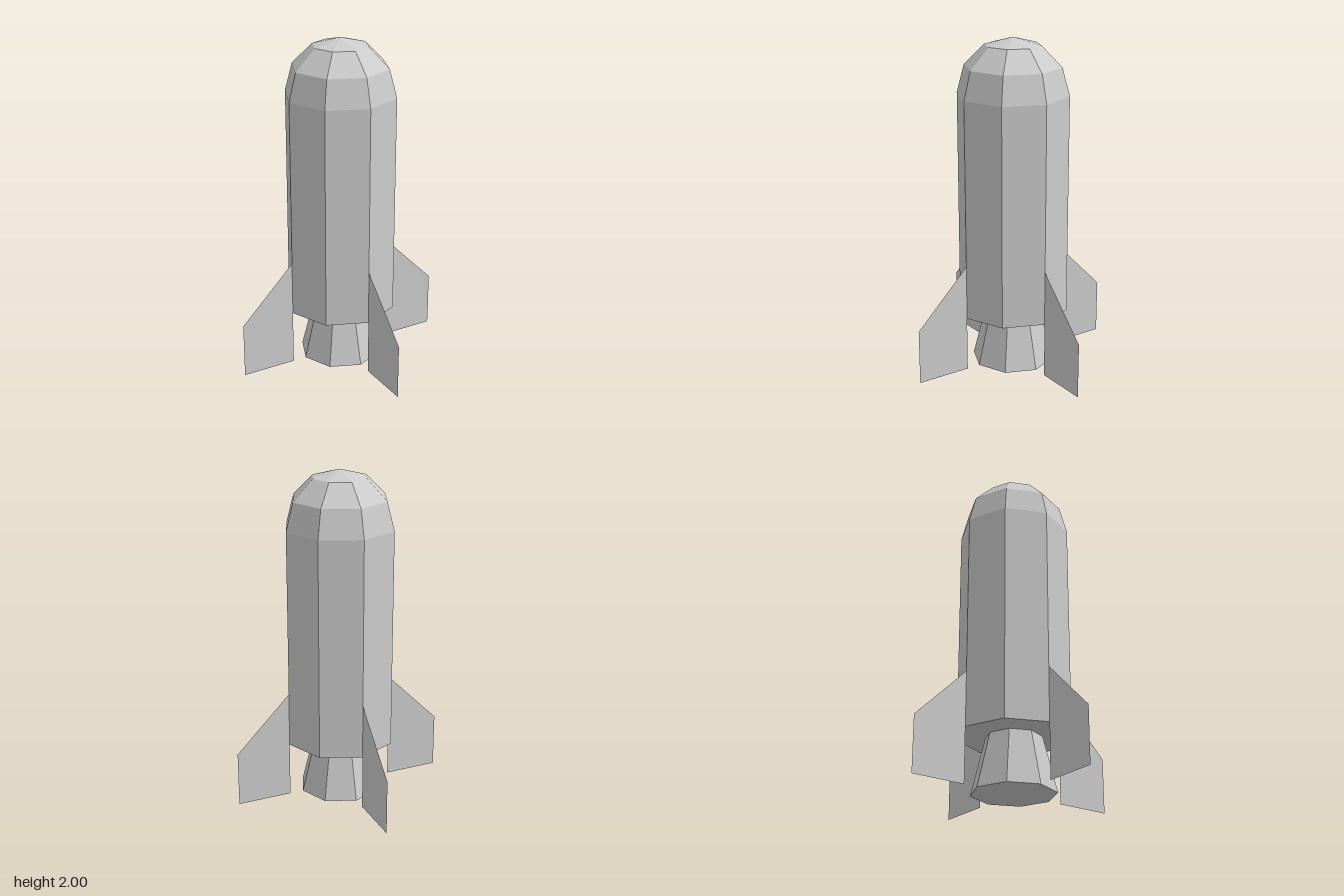
import * as THREE from 'three';

const R = 1 / 3; // body radius
const SIDES = 8;

export function createModel() {
  const group = new THREE.Group();
  const hull = new THREE.MeshStandardMaterial({ color: 0xcccccc, flatShading: true });
  const sheet = new THREE.MeshStandardMaterial({ color: 0xcccccc, flatShading: true, side: THREE.DoubleSide });

  const add = (name, geometry, material) => {
    const mesh = new THREE.Mesh(geometry, material);
    mesh.name = name;
    group.add(mesh);
    return mesh;
  };
  // Eight-sided solid turned from a bottom-to-top profile
  const turned = (points) =>
    new THREE.LatheGeometry(points.map(([x, y]) => new THREE.Vector2(x, y)), SIDES);

  // Straight body with a closed underside
  add('body', turned([[0, R], [R, R], [R, 5 * R]]), hull);

  // Half-sphere nose in three bands
  const nose = new THREE.SphereGeometry(R, SIDES, 3, 0, Math.PI * 2, 0, Math.PI / 2);
  nose.translate(0, 5 * R, 0);
  add('nose', nose, hull);

  // Flared engine nozzle, closed at the bottom
  add('nozzle', turned([[0, 0], [0.25, 0], [R / 2, R]]), hull);

  // Four thin swept fins on the diagonal corners of the body
  const outline = new THREE.Shape([
    new THREE.Vector2(R, 0),
    new THREE.Vector2(2 * R, 0),
    new THREE.Vector2(2 * R, R),
    new THREE.Vector2(R, 2 * R),
  ]);
  const finGeometry = new THREE.ShapeGeometry(outline);
  for (let i = 0; i < 4; i++) {
    add(`fin${i + 1}`, finGeometry, sheet).rotation.y = Math.PI / 4 + (i * Math.PI) / 2;
  }

  return group;
}
